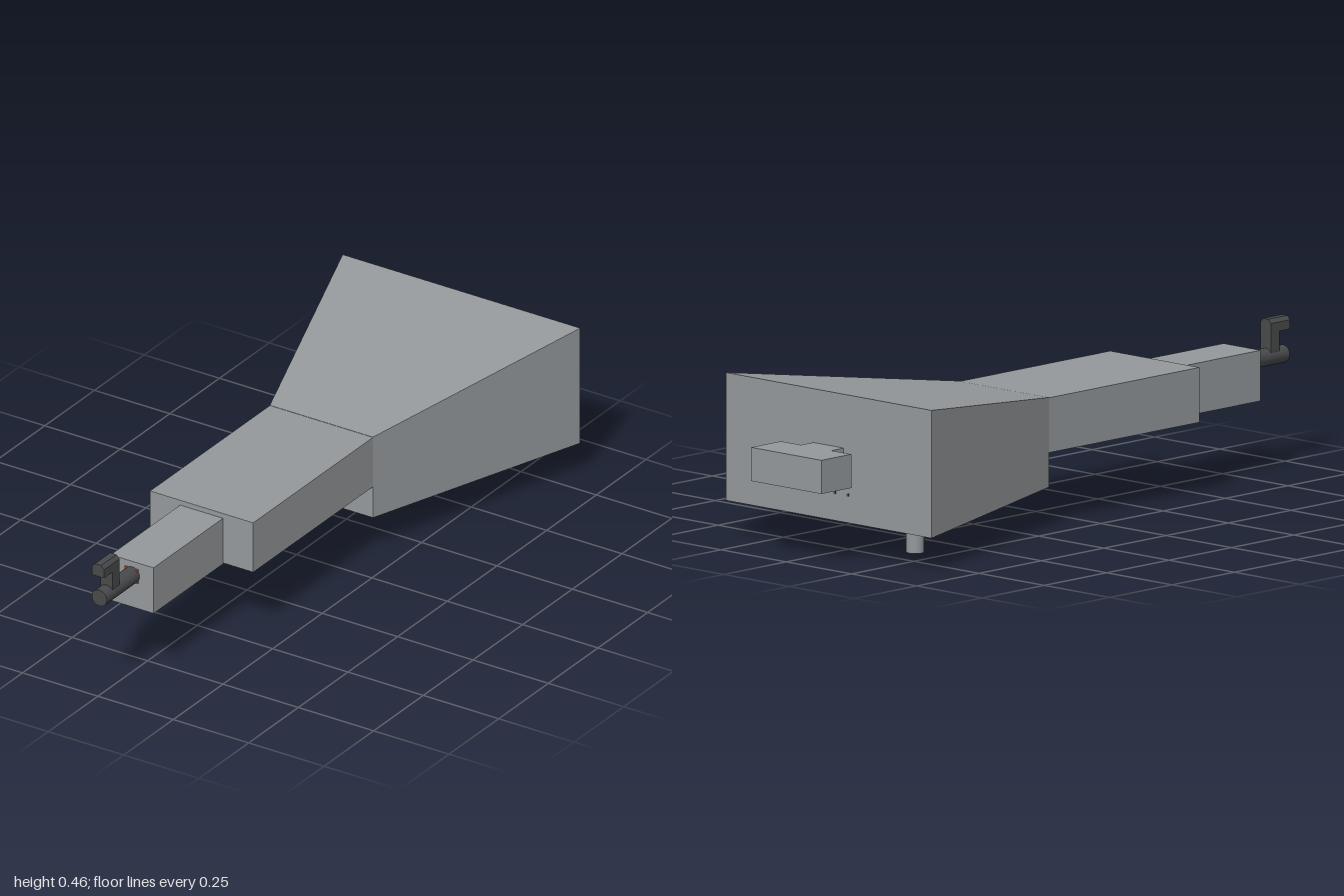
import * as THREE from 'three';

const mat = (name, color) => {
  const m = new THREE.MeshStandardMaterial({ color });
  m.name = name;
  return m;
};

export function createModel() {
  const model = new THREE.Group();
  const grey = mat('grey', 0x94989b);
  const dark = mat('charcoal', 0x484a4b);
  const orange = mat('orange', 0xc4541c);

  const add = (name, geometry, material) => {
    const mesh = new THREE.Mesh(geometry, material);
    mesh.name = name;
    model.add(mesh);
    return mesh;
  };
  // Box given by its limits on each axis
  const box = (name, material, [x0, x1], [y0, y1], [z0, z1]) =>
    add(name, new THREE.BoxGeometry(x1 - x0, y1 - y0, z1 - z0), material)
      .position.set((x0 + x1) / 2, (y0 + y1) / 2, (z0 + z1) / 2);

  // Flared rear housing: a box whose front end is narrower and lower
  const housing = new THREE.BoxGeometry(1, 1, 1);
  const p = housing.attributes.position;
  for (let i = 0; i < p.count; i++) {
    const front = p.getZ(i) > 0;
    const top = p.getY(i) > 0;
    p.setXYZ(i,
      Math.sign(p.getX(i)) * (front ? 0.171 : 0.394),
      front ? (top ? 0.363 : 0.11) : (top ? 0.457 : 0.096),
      front ? -0.125 : -0.83);
  }
  housing.computeVertexNormals();
  add('rearHousing', housing, grey);

  // Stepped body
  box('middleBody', grey, [-0.171, 0.171], [0.207, 0.362], [-0.13, 0.478]);
  box('frontBody', grey, [-0.071, 0.071], [0.204, 0.347], [0.47, 0.828]);

  // T-shaped rear handle
  box('handleStem', grey, [-0.058, 0.058], [0.21, 0.305], [-0.89, -0.82]);
  box('handleBar', grey, [-0.135, 0.135], [0.21, 0.305], [-1, -0.88]);

  // Nose rod, with an orange collar plate behind it
  const rod = add('noseRod', new THREE.CylinderGeometry(0.025, 0.025, 0.17, 24), dark);
  rod.rotation.x = Math.PI / 2;
  rod.position.set(0, 0.305, 0.908);
  box('noseCollar', orange, [-0.022, 0.022], [0.284, 0.327], [0.826, 0.832]);

  // Upright post and chamfered hook above the rod
  box('hookPost', dark, [-0.02, 0.02], [0.31, 0.39], [0.922, 0.957]);
  const hook = new THREE.Shape([
    [-0.02, 0.376], [0.02, 0.376], [0.02, 0.402], [0.01, 0.413], [-0.01, 0.413], [-0.02, 0.402],
  ].map(([x, y]) => new THREE.Vector2(x, y)));
  add('hookHead', new THREE.ExtrudeGeometry(hook, { depth: 0.078, bevelEnabled: false }), dark)
    .position.z = 0.922;

  // Pegs under the housing: x, z, radius, lowest y
  for (const [x, z, r, y] of [
    [-0.16, -0.65, 0.025, 0],
    [-0.17, -0.415, 0.02, 0.083],
    [0.183, -0.565, 0.025, 0.084],
    [0.183, -0.365, 0.019, 0.077],
  ]) {
    const h = 0.12 - y;
    add('peg', new THREE.CylinderGeometry(r, r, h, 24), grey).position.set(x, y + h / 2, z);
  }

  // Orange pads and dark slot on the underside
  box('widePad', orange, [-0.09, 0.09], [0.202, 0.208], [0.328, 0.378]);
  for (const x of [-0.057, 0.057])
    box('smallPad', orange, [x - 0.025, x + 0.025], [0.202, 0.208], [0.182, 0.232]);
  box('frontSlot', dark, [-0.06, 0.06], [0.201, 0.206], [0.683, 0.697]);

  // Row of tiny marks below the rear handle
  for (const x of [-0.075, -0.025, 0.025, 0.075])
    box('rearMark', dark, [x - 0.004, x + 0.004], [0.171, 0.179], [-0.832, -0.828]);

  return model;
}
